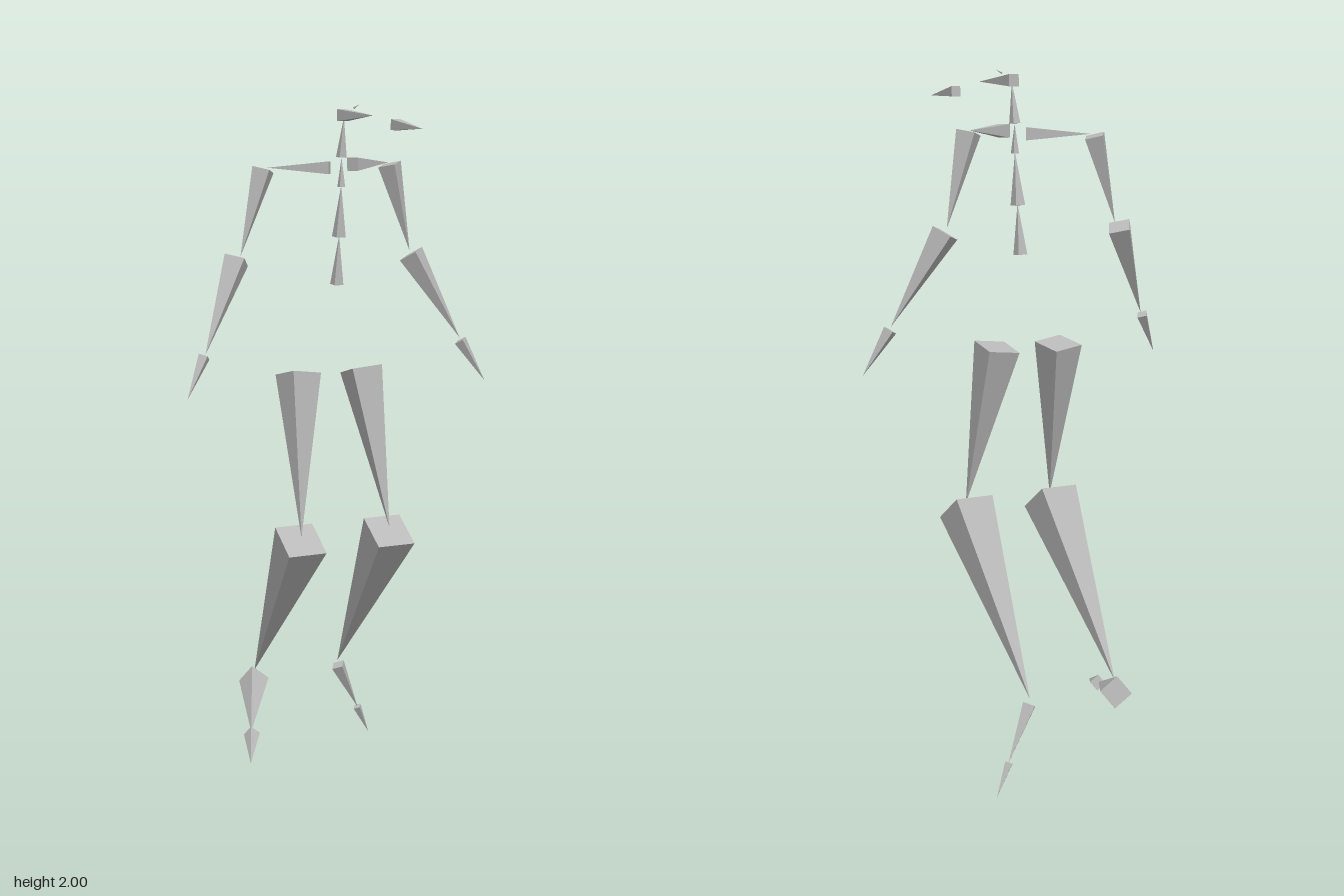
import * as THREE from 'three';

const grey = new THREE.MeshStandardMaterial({ color: 0xb8b8b8, flatShading: true });
grey.name = 'bone grey';

// A bone is a square pyramid from joint to tip, one fifth as wide as it is long.
// edge gives the direction of one side of its base.
function bone(name, from, to, edge) {
  const a = new THREE.Vector3(...from), b = new THREE.Vector3(...to);
  const y = b.clone().sub(a), length = y.length();
  y.normalize();
  const x = new THREE.Vector3(...edge);
  x.addScaledVector(y, -x.dot(y)).normalize();
  const z = new THREE.Vector3().crossVectors(x, y);
  const geometry = new THREE.ConeGeometry(length * 0.2 / Math.SQRT2, length, 4, 1, false, Math.PI / 4);
  geometry.translate(0, length / 2, 0);
  geometry.applyMatrix4(new THREE.Matrix4().makeBasis(x, y, z).setPosition(a));
  const mesh = new THREE.Mesh(geometry, grey);
  mesh.name = name;
  return mesh;
}

const SIDE = [1, 0, 0], UP = [0, 1, 0];
const R_ARM = [0.043, -0.012, 0.037], L_ARM = [-0.043, -0.012, 0.037];
const R_FOOT = [0.043, -0.035, 0.012], L_FOOT = [-0.02, -0.014, 0.03];

const parts = {
  // Spine, head and the loose marker ahead of the face
  torso: [
    ['lowerSpine', [-0.01, 1.48, -0.106], [-0.01, 1.625, -0.09], SIDE],
    ['middleSpine', [-0.01, 1.62, -0.092], [-0.01, 1.77, -0.076], SIDE],
    ['upperSpine', [-0.01, 1.765, -0.076], [-0.01, 1.85, -0.074], SIDE],
    ['neck', [-0.01, 1.85, -0.075], [-0.008, 1.965, -0.062], SIDE],
    ['head', [-0.01, 1.97, -0.07], [0.002, 1.966, 0.1], SIDE],
    ['headMarker', [0.013, 1.99, -0.042], [0.023, 2, -0.026], SIDE],
    ['gazeMarker', [-0.008, 1.938, 0.25], [-0.008, 1.925, 0.4], SIDE],
  ],
  rightArm: [
    ['rightCollar', [-0.05, 1.82, -0.073], [-0.2, 1.82, -0.178], UP],
    ['rightUpperArm', [-0.212, 1.815, -0.18], [-0.286, 1.565, -0.18], R_ARM],
    ['rightForearm', [-0.296, 1.555, -0.187], [-0.426, 1.29, -0.118], R_ARM],
    ['rightHand', [-0.428, 1.285, -0.122], [-0.493, 1.167, -0.093], R_ARM],
  ],
  leftArm: [
    ['leftCollar', [0.033, 1.83, -0.088], [0.2, 1.835, -0.178], UP],
    ['leftUpperArm', [0.205, 1.83, -0.18], [0.275, 1.57, -0.18], L_ARM],
    ['leftForearm', [0.284, 1.56, -0.187], [0.418, 1.303, -0.118], L_ARM],
    ['leftHand', [0.422, 1.295, -0.122], [0.493, 1.17, -0.093], L_ARM],
  ],
  rightLeg: [
    ['rightThigh', [-0.127, 1.22, -0.127], [-0.17, 0.75, -0.02], [0.1, -0.012, -0.013]],
    ['rightShin', [-0.173, 0.743, -0.018], [-0.164, 0.265, -0.377], SIDE],
    ['rightFoot', [-0.163, 0.232, -0.385], [-0.302, 0.16, -0.097], R_FOOT],
    ['rightToes', [-0.302, 0.156, -0.092], [-0.372, 0.117, 0.056], R_FOOT],
  ],
  leftLeg: [
    ['leftThigh', [0.082, 1.225, -0.128], [0.122, 0.755, -0.02], [0.1, 0.008, 0.005]],
    ['leftShin', [0.12, 0.745, -0.018], [0.125, 0.26, -0.375], SIDE],
    ['leftFoot', [0.127, 0.245, -0.374], [0.206, 0.09, -0.39], L_FOOT],
    ['leftToes', [0.204, 0.093, -0.39], [0.25, 0, -0.4], L_FOOT],
  ],
};

export function createModel() {
  const model = new THREE.Group();
  model.name = 'boneFigure';
  for (const [name, bones] of Object.entries(parts)) {
    const group = new THREE.Group();
    group.name = name;
    for (const b of bones) group.add(bone(...b));
    model.add(group);
  }
  return model;
}
